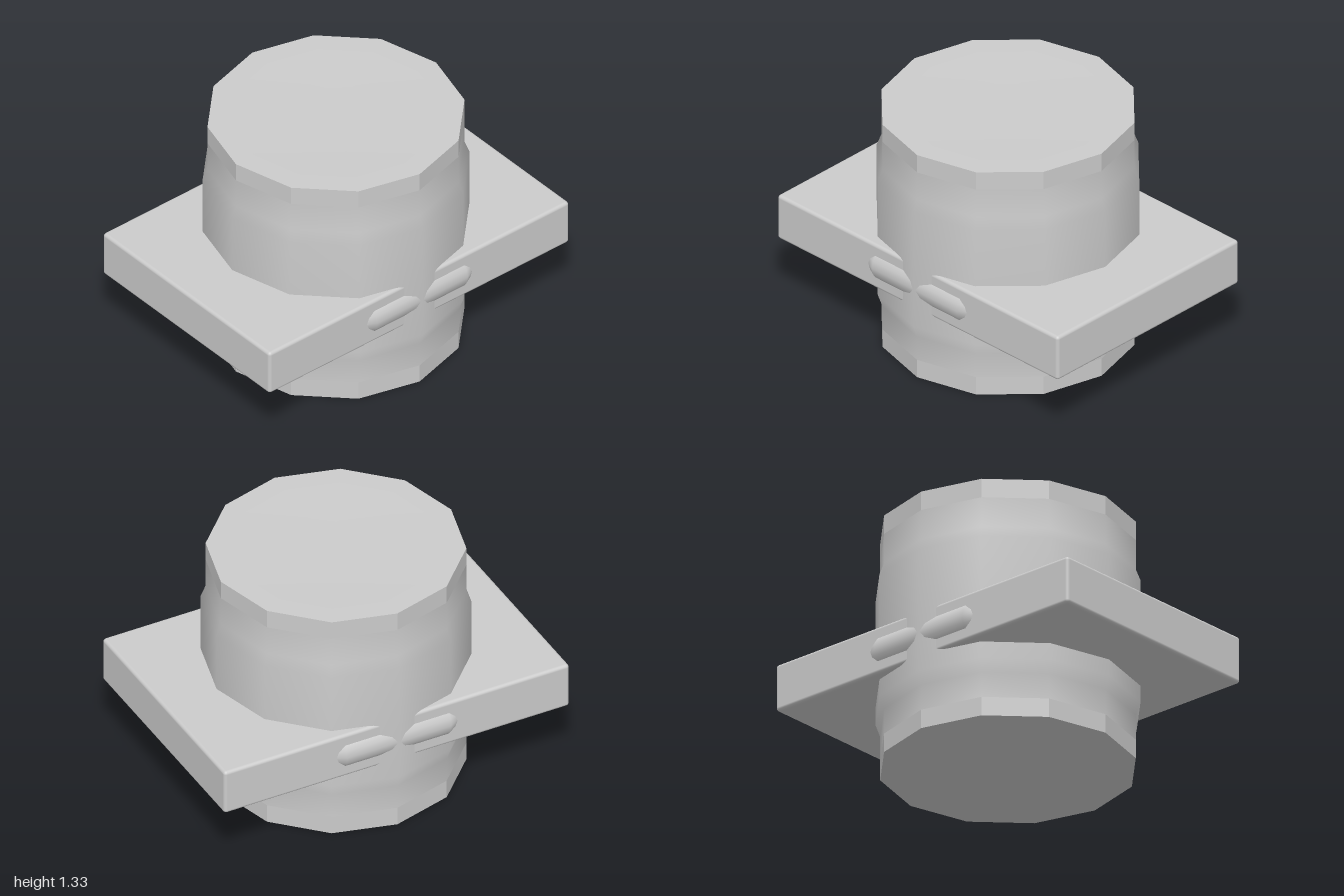
import * as THREE from 'three';
import { RoundedBoxGeometry } from 'three/addons/geometries/RoundedBoxGeometry.js';

const SIDES = 12;
const END_RADIUS = 0.667, BODY_RADIUS = 0.692, HEIGHT = 1.334, RIM = 0.104;

export function createModel() {
  const model = new THREE.Group();
  const smooth = new THREE.MeshStandardMaterial({ color: 0xcccccc });
  const faceted = new THREE.MeshStandardMaterial({ color: 0xcccccc, flatShading: true });

  const add = (name, geometry, material, x = 0, y = 0, z = 0) => {
    const mesh = new THREE.Mesh(geometry, material);
    mesh.name = name;
    mesh.position.set(x, y, z);
    model.add(mesh);
    return mesh;
  };
  const lathe = (points, sides = SIDES) =>
    new THREE.LatheGeometry(points.map(([r, y]) => new THREE.Vector2(r, y)), sides);

  // Twelve-sided barrel, slightly wider through the middle
  add('barrel', lathe([
    [END_RADIUS, RIM], [END_RADIUS, 0.244], [BODY_RADIUS, 0.315],
    [BODY_RADIUS, 1.0], [END_RADIUS, 1.065], [END_RADIUS, HEIGHT - RIM],
  ]), smooth);

  // Faceted rims, each with a flat lip and a very shallow dished face
  for (const [side, end] of [['top', 1], ['bottom', -1]]) {
    const y = end > 0 ? HEIGHT : 0;
    const rim = [[END_RADIUS, y - end * RIM], [END_RADIUS, y], [0.55, y]];
    const dish = [[0.55, y], [0.3, y - end * 0.006], [0, y - end * 0.008]];
    if (end < 0) { rim.reverse(); dish.reverse(); }
    add(side + 'Rim', lathe(rim), faceted);
    add(side + 'Face', lathe(dish), smooth);
  }

  // Rectangular slab through the barrel
  add('slab', new RoundedBoxGeometry(2, 0.26, 1.33, 3, 0.018), smooth, 0, 0.535, 0);

  // Tapered rods half sunk into the front and back edges of the slab
  const rod = lathe([[0, -0.4], [0.05, -0.4], [0.1, -0.3], [0.1, 0.3], [0.05, 0.4], [0, 0.4]], 16);
  rod.rotateZ(Math.PI / 2);
  add('frontRod', rod, smooth, 0, 0.535, 0.59);
  add('backRod', rod, smooth, 0, 0.535, -0.59);

  return model;
}
